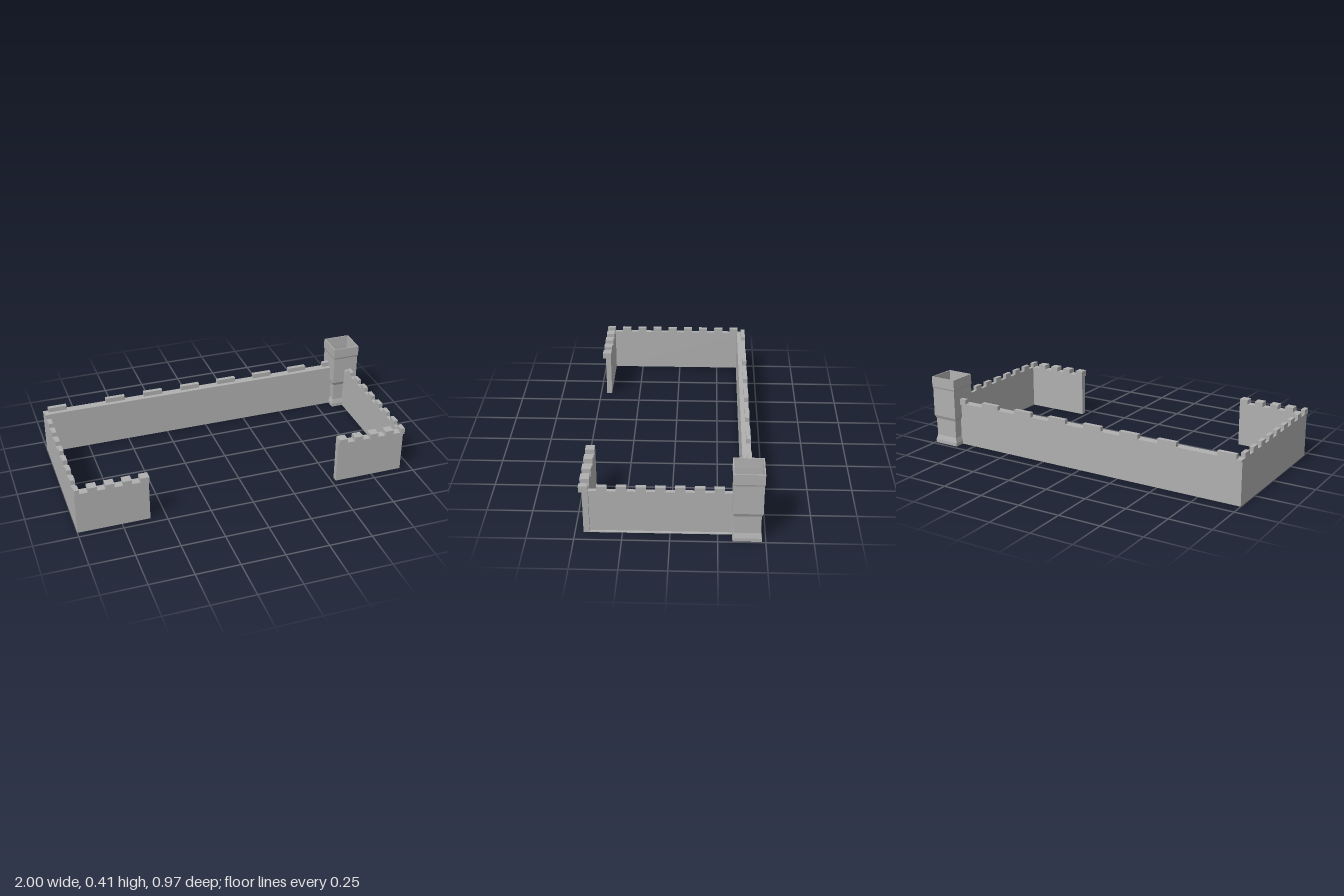
import * as THREE from 'three';

export function createModel() {
  const model = new THREE.Group();
  model.name = 'castleWalls';
  const stone = new THREE.MeshStandardMaterial({ color: 0xb0b0b0, flatShading: true, side: THREE.DoubleSide });
  stone.name = 'greyStone';

  // Box given by its limits on each axis
  function block(parent, name, [x0, x1], [y0, y1], [z0, z1]) {
    const mesh = new THREE.Mesh(new THREE.BoxGeometry(x1 - x0, y1 - y0, z1 - z0), stone);
    mesh.position.set((x0 + x1) / 2, (y0 + y1) / 2, (z0 + z1) / 2);
    mesh.name = name;
    parent.add(mesh);
  }
  function section(name) {
    const group = new THREE.Group();
    group.name = name;
    model.add(group);
    return group;
  }

  const BODY = [0, 0.25], SLAB = [0.25, 0.26], TOOTH = [0.26, 0.287];

  // Back wall with long merlons along its outer edge
  const back = section('backWall');
  block(back, 'wallBody', [-1, 0.935], BODY, [-0.42, -0.38]);
  block(back, 'walkway', [-1, 0.935], SLAB, [-0.43, -0.38]);
  block(back, 'merlon', [-0.97, -0.86], TOOTH, [-0.43, -0.405]);
  for (let i = 0; i < 7; i++) {
    const x = -0.62 + i * 0.236;
    block(back, 'merlon', [x, x + 0.116], TOOTH, [-0.43, -0.405]);
  }

  // Left side wall
  const left = section('leftWall');
  block(left, 'wallBody', [-1, -0.975], BODY, [-0.38, 0.43]);
  block(left, 'walkway', [-1, -0.975], SLAB, [-0.38, 0.43]);

  // Right side wall, recessed on its outer face
  const right = section('rightWall');
  block(right, 'wallPanel', [0.912, 0.92], BODY, [-0.38, 0.425]);
  block(right, 'baseLedge', [0.92, 0.935], [0, 0.004], [-0.38, 0.425]);
  block(right, 'walkway', [0.912, 0.935], SLAB, [-0.38, 0.425]);

  // Small merlons along both side walls
  for (let i = 0; i < 8; i++) {
    const z = 0.326 - i * 0.1015;
    const span = [Math.max(z, -0.385), z + 0.054];
    block(left, 'merlon', [-1, -0.975], TOOTH, span);
    if (i < 7) block(right, 'merlon', [0.912, 0.935], TOOTH, span);
  }

  // Short front walls either side of the opening, with overhanging merlons
  function frontWall(name, x0, x1, z, firstTooth, corner) {
    const wall = section(name);
    block(wall, 'wallBody', [x0, x1], BODY, [z, z + 0.032]);
    block(wall, 'walkway', [x0, x1], SLAB, [z, z + 0.046]);
    for (let i = 0; i < 4; i++) {
      const x = firstTooth + i * 0.096;
      block(wall, 'merlon', [x, x + 0.05], [0.25, 0.287], [z, z + 0.05]);
    }
    block(wall, 'cornerMerlon', corner, [0.25, 0.287], [z, z + 0.05]);
  }
  frontWall('leftFrontWall', -1, -0.59, 0.43, -0.928, [-1, -0.975]);
  frontWall('rightFrontWall', 0.525, 0.935, 0.423, 0.526, [0.91, 0.935]);

  // Square corner tower, open at the top (half width, height)
  const profile = [
    [0, 0], [0.077, 0], [0.077, 0.02], [0.069, 0.05], [0.071, 0.155], [0.079, 0.175],
    [0.079, 0.345], [0.082, 0.355], [0.082, 0.415], [0.076, 0.415], [0.074, 0.355],
    [0.074, 0.18],
  ].map(([half, y]) => new THREE.Vector2(half * Math.SQRT2, y));
  const tower = new THREE.Mesh(new THREE.LatheGeometry(profile, 4, Math.PI / 4), stone);
  tower.position.set(0.917, 0, -0.403);
  tower.name = 'cornerTower';
  model.add(tower);

  return model;
}
